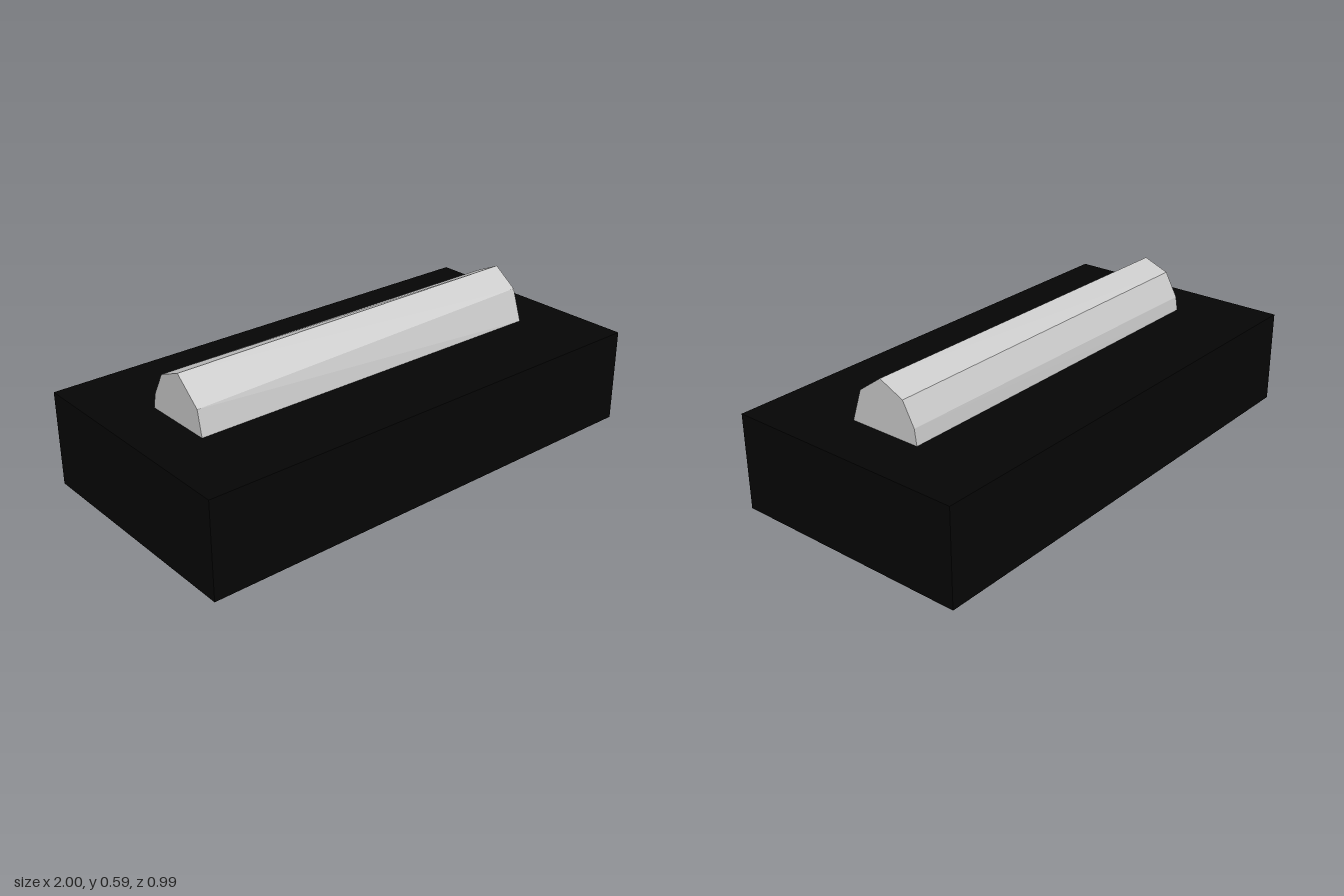
import * as THREE from 'three';

// Faceted bar lofted between two slightly different end profiles of [z, y] points
function loftBar(left, right, xLeft, xRight) {
  const L = left.map(([z, y]) => [xLeft, y, z]);
  const R = right.map(([z, y]) => [xRight, y, z]);
  const n = L.length;
  const pos = [];
  const tri = (a, b, c) => pos.push(...a, ...b, ...c);
  for (let i = 0; i < n; i++) {
    const j = (i + 1) % n;
    tri(L[i], R[i], L[j]);
    tri(R[i], R[j], L[j]);
  }
  // end caps
  for (let i = 1; i < n - 1; i++) {
    tri(R[0], R[i + 1], R[i]);
    tri(L[0], L[i], L[i + 1]);
  }
  const geometry = new THREE.BufferGeometry();
  geometry.setAttribute('position', new THREE.Float32BufferAttribute(pos, 3));
  geometry.computeVertexNormals();
  return geometry;
}

export function createModel() {
  const model = new THREE.Group();
  model.name = 'barOnBase';
  const baseHeight = 0.384;

  // Dark rectangular base
  const base = new THREE.Mesh(
    new THREE.BoxGeometry(2, baseHeight, 0.99),
    new THREE.MeshStandardMaterial({ color: 0x050505 })
  );
  base.name = 'base';
  base.position.y = baseHeight / 2;
  model.add(base);

  // Rough-cut ingot on top, front edge to back edge
  const leftEnd = [[0.148, baseHeight], [0.128, 0.485], [0.018, 0.58], [-0.087, 0.538], [-0.141, 0.44], [-0.15, baseHeight]];
  const rightEnd = [[0.155, baseHeight], [0.111, 0.514], [0.011, 0.586], [-0.092, 0.538], [-0.141, 0.447], [-0.15, baseHeight]];
  const bar = new THREE.Mesh(
    loftBar(leftEnd, rightEnd, -0.788, 0.786),
    new THREE.MeshStandardMaterial({ color: 0xcccccc, flatShading: true })
  );
  bar.name = 'bar';
  model.add(bar);

  return model;
}
